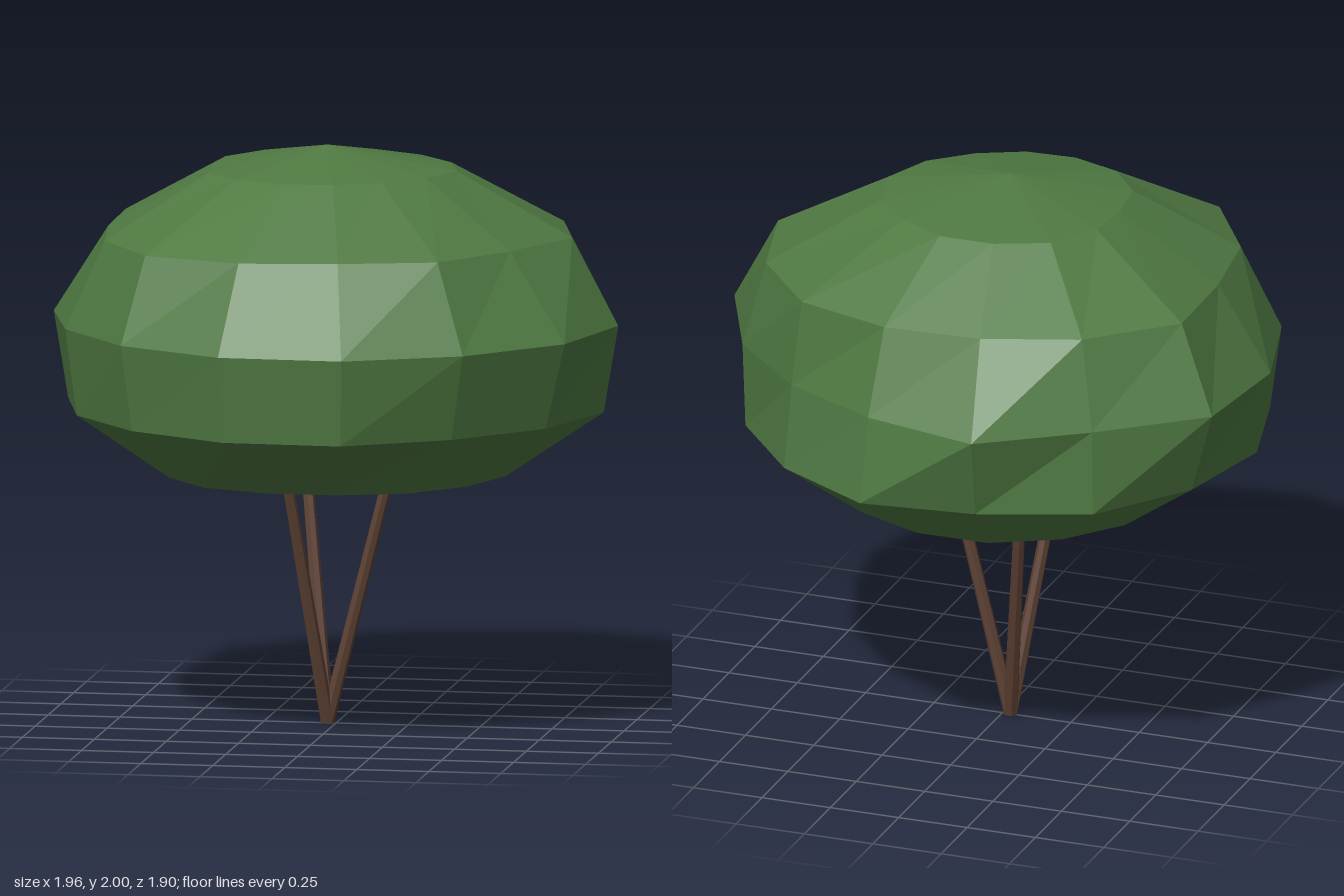
import * as THREE from 'three';

const SIDES = 14;
const CENTER_X = -0.03;

// Canopy rings from top to bottom: height, then radius at each step round from +x towards +z
const RINGS = [
  [1.92, [0.45, 0.42, 0.39, 0.39, 0.40, 0.42, 0.42, 0.40, 0.43, 0.45, 0.44, 0.44, 0.43, 0.44]],
  [1.70, [0.85, 0.77, 0.79, 0.73, 0.78, 0.83, 0.79, 0.76, 0.85, 0.80, 0.76, 0.78, 0.83, 0.84]],
  [1.40, [1.01, 1.00, 0.97, 0.97, 0.96, 0.94, 0.93, 0.95, 1.00, 0.91, 0.98, 0.88, 0.87, 0.92]],
  [1.10, [0.96, 0.92, 0.89, 0.93, 0.92, 0.89, 0.89, 0.90, 0.90, 0.92, 0.88, 0.93, 0.90, 0.91]],
  [0.87, [0.62, 0.59, 0.57, 0.54, 0.54, 0.56, 0.56, 0.56, 0.57, 0.57, 0.58, 0.58, 0.59, 0.60]],
];

// Irregular faceted dome closed by a pole at each end
function canopyGeometry() {
  const points = [CENTER_X, 2, 0];
  const faces = [];
  for (const [y, radii] of RINGS) {
    radii.forEach((r, k) => {
      const a = (k / SIDES) * Math.PI * 2;
      points.push(CENTER_X + r * Math.cos(a), y, r * Math.sin(a));
    });
  }
  points.push(CENTER_X, 0.81, 0);
  const bottom = points.length / 3 - 1;
  const at = (ring, k) => 1 + ring * SIDES + (k % SIDES);
  const last = RINGS.length - 1;
  for (let k = 0; k < SIDES; k++) {
    faces.push(0, at(0, k + 1), at(0, k));
    for (let r = 0; r < last; r++) {
      faces.push(at(r, k), at(r, k + 1), at(r + 1, k + 1));
      faces.push(at(r, k), at(r + 1, k + 1), at(r + 1, k));
    }
    faces.push(bottom, at(last, k), at(last, k + 1));
  }
  const geometry = new THREE.BufferGeometry();
  geometry.setAttribute('position', new THREE.Float32BufferAttribute(points, 3));
  geometry.setIndex(faces);
  geometry.computeVertexNormals();
  return geometry;
}

// Thin tapered stem between two points
function stem(from, to, material) {
  const direction = to.clone().sub(from);
  const mesh = new THREE.Mesh(
    new THREE.CylinderGeometry(0.02, 0.025, direction.length(), 7), material);
  mesh.position.copy(from).add(to).multiplyScalar(0.5);
  mesh.quaternion.setFromUnitVectors(new THREE.Vector3(0, 1, 0), direction.normalize());
  return mesh;
}

export function createModel() {
  const leaf = new THREE.MeshStandardMaterial({ color: 0x4f7942, flatShading: true });
  leaf.name = 'leaf green';
  const bark = new THREE.MeshStandardMaterial({ color: 0x5c4033, flatShading: true });
  bark.name = 'bark brown';

  const model = new THREE.Group();
  model.name = 'tree';

  const canopy = new THREE.Mesh(canopyGeometry(), leaf);
  canopy.name = 'canopy';
  model.add(canopy);

  // Three stems spreading evenly from one foot
  const trunk = new THREE.Group();
  trunk.name = 'trunk';
  for (let i = 0; i < 3; i++) {
    const a = (i / 3) * Math.PI * 2;
    const foot = new THREE.Vector3(CENTER_X, 0.005, 0);
    const tip = new THREE.Vector3(CENTER_X + 0.215 * Math.cos(a), 0.87, 0.215 * Math.sin(a));
    const mesh = stem(foot, tip, bark);
    mesh.name = `stem${i + 1}`;
    trunk.add(mesh);
  }
  model.add(trunk);
  return model;
}
